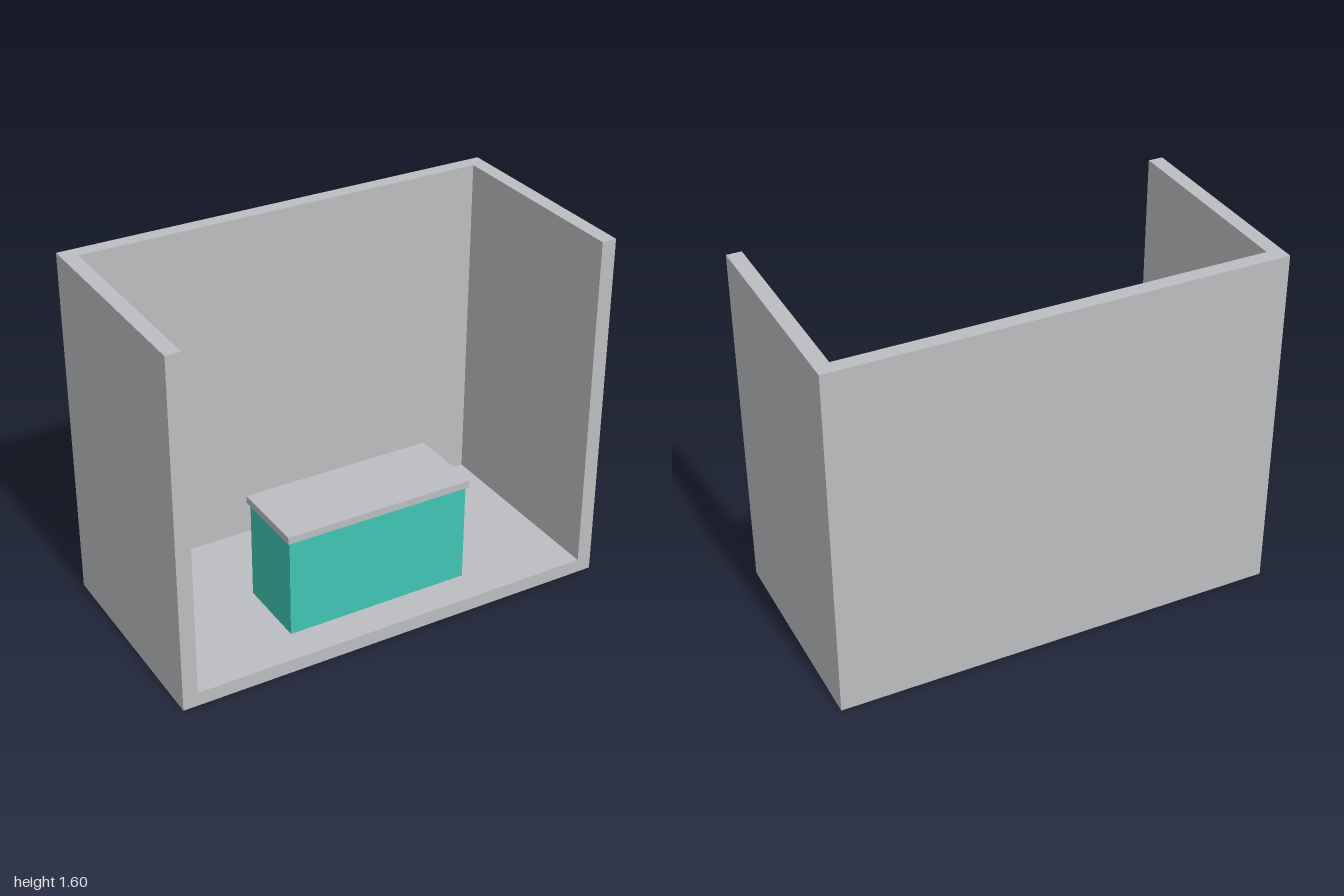
import * as THREE from 'three';

const W = 1, D = 0.5, H = 1.6;      // half width, half depth, height
const WALL = 0.067, FLOOR = 0.063;  // thicknesses
const COUNTER = { x: 0.425, z0: 0.003, z1: 0.343, top: 0.52 };

// Extrude a floor plan, drawn as [x, z] points, upward from y0 to y1
function extrudePlan(points, y0, y1, hole) {
  const toVec = ([x, z]) => new THREE.Vector2(x, -z);
  const shape = new THREE.Shape(points.map(toVec));
  if (hole) shape.holes.push(new THREE.Path(hole.map(toVec)));
  const geometry = new THREE.ExtrudeGeometry(shape, { depth: y1 - y0, bevelEnabled: false });
  return geometry.rotateX(-Math.PI / 2).translate(0, y0, 0);
}

const rect = (x, z0, z1) => [[-x, z0], [-x, z1], [x, z1], [x, z0]];

export function createModel() {
  const group = new THREE.Group();
  group.name = 'booth';
  const grey = new THREE.MeshStandardMaterial({ color: 0xbcbdc0 });
  grey.name = 'light grey';
  const teal = new THREE.MeshStandardMaterial({ color: 0x40c4b4 });
  teal.name = 'teal';

  const add = (name, geometry, material) => {
    const mesh = new THREE.Mesh(geometry, material);
    mesh.name = name;
    group.add(mesh);
  };

  // Floor slab, open where the counter passes through it
  const footprint = rect(COUNTER.x, COUNTER.z0, COUNTER.z1);
  add('floor', extrudePlan(rect(W, -D, D), 0, FLOOR, footprint), grey);

  // Back and side walls as one U-shaped plan
  const ix = W - WALL, iz = -D + WALL;
  add('walls', extrudePlan([
    [-W, D], [-ix, D], [-ix, iz], [ix, iz], [ix, D], [W, D], [W, -D], [-W, -D],
  ], FLOOR, H), grey);

  // Counter body, and its slightly overhanging top
  add('counter', extrudePlan(footprint, 0, COUNTER.top), teal);
  add('counterTop', extrudePlan(rect(0.437, -0.009, 0.355), COUNTER.top, 0.553), grey);

  return group;
}
